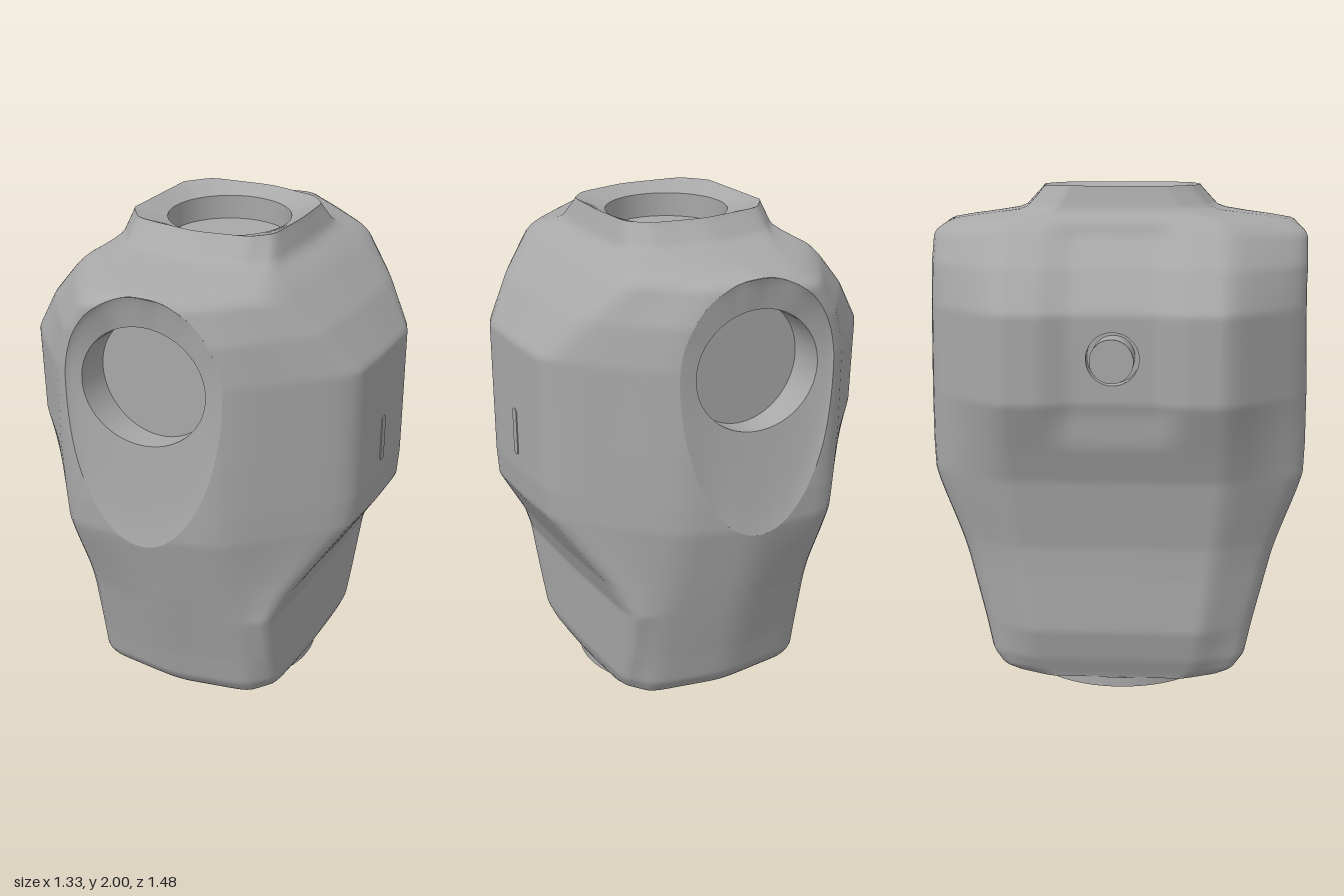
import * as THREE from 'three';

const grey = new THREE.MeshStandardMaterial({ color: 0xa8a8a8, side: THREE.DoubleSide });
grey.name = 'plain grey';

// Body profile: y, chest x, chest half width, front corner x, side z, back x
const PROFILE = [
  [0.035, 0.37, 0.26, 0.27, 0.44, -0.39],
  [0.06, 0.385, 0.32, 0.3, 0.495, -0.4],
  [0.12, 0.408, 0.36, 0.3, 0.54, -0.425],
  [0.25, 0.415, 0.41, 0.29, 0.57, -0.46],
  [0.48, 0.43, 0.475, 0.28, 0.63, -0.46],
  [0.6, 0.48, 0.43, 0.28, 0.66, -0.465],
  [0.88, 0.655, 0.265, 0.29, 0.725, -0.515],
  [1.0, 0.665, 0.26, 0.29, 0.73, -0.56],
  [1.2, 0.665, 0.26, 0.29, 0.73, -0.64],
  [1.54, 0.665, 0.26, 0.29, 0.725, -0.65],
  [1.7, 0.55, 0.34, 0.26, 0.725, -0.56],
  [1.83, 0.42, 0.42, 0.18, 0.725, -0.45],
  [1.87, 0.37, 0.42, 0.12, 0.7, -0.41],
  [1.887, 0.34, 0.36, 0.13, 0.57, -0.38],
  [1.91, 0.32, 0.27, 0.22, 0.4, -0.36],
  [2.0, 0.288, 0.2, 0.21, 0.315, -0.335],
];

function profileAt(y) {
  const last = PROFILE.length - 1;
  if (y <= PROFILE[0][0]) return PROFILE[0];
  if (y >= PROFILE[last][0]) return PROFILE[last];
  const k = PROFILE.findIndex((s) => s[0] > y);
  const a = PROFILE[k - 1], b = PROFILE[k], t = (y - a[0]) / (b[0] - a[0]);
  return a.map((v, i) => v + (b[i] - v) * t);
}

// Closed control polygon of the section, from chest centre round the +z side
function controls(y) {
  const step = THREE.MathUtils.smoothstep;
  const lo = profileAt(y - 0.01), mid = profileAt(y), hi = profileAt(y + 0.01);
  const [, chest, width, corner, side, back] = mid.map((v, i) => (lo[i] + 2 * v + hi[i]) / 4);
  const rear = side * (0.95 + 0.07 * step(y, 0.5, 0.9) - 0.12 * step(y, 1.8, 1.92));
  const groove = 0.04 * step(y, 1, 1.2) * (1 - step(y, 1.8, 1.9));
  const half = [[chest, 0], [chest - 0.01, width], [corner, side * 0.86], [0, side],
    [-corner - 0.045, rear], [back, side * 0.6], [back, side * 0.375],
    [back + groove, side * 0.22], [back + groove, 0]];
  return [...half, ...half.slice(1, 8).reverse().map(([x, z]) => [x, -z])];
}

// Point on the section; averaging nearby samples rounds the corners
function sectionPoint(ctrl, u) {
  let x = 0, z = 0;
  for (let k = -3; k <= 3; k++) {
    const v = (u + k * 0.06 + 16) % 16, i = Math.floor(v), t = v - i;
    const a = ctrl[i], b = ctrl[(i + 1) % 16];
    x += (a[0] + (b[0] - a[0]) * t) / 7;
    z += (a[1] + (b[1] - a[1]) * t) / 7;
  }
  return [x, z];
}

function sectionRing(y) {
  const ctrl = controls(y);
  return Array.from({ length: 128 }, (_, i) => {
    const [x, z] = sectionPoint(ctrl, i / 8);
    return [x, y, z];
  });
}

// Depth of the body's side at a given x and y
function sideZ(x, y) {
  const ctrl = controls(y);
  let a = 1, b = 5;
  for (let i = 0; i < 24; i++) {
    const m = (a + b) / 2;
    if (sectionPoint(ctrl, m)[0] > x) a = m; else b = m;
  }
  return sectionPoint(ctrl, a)[1];
}

// Smooth skin over a list of closed rings
function loft(rings) {
  const n = rings[0].length, index = [];
  for (let j = 0; j < rings.length - 1; j++) {
    for (let i = 0; i < n; i++) {
      const a = j * n + i, c = j * n + ((i + 1) % n);
      index.push(a, a + n, c, c, a + n, c + n);
    }
  }
  const geo = new THREE.BufferGeometry();
  geo.setAttribute('position', new THREE.Float32BufferAttribute(rings.flat(2), 3));
  geo.setIndex(index);
  geo.computeVertexNormals();
  return geo;
}

// Cuts away the part of a surface where keep(x, y, z) is negative
function cut(geo, keep) {
  const g = geo.index ? geo.toNonIndexed() : geo;
  const p = g.attributes.position, q = g.attributes.normal, pos = [], nor = [];
  for (let t = 0; t < p.count; t += 3) {
    const tri = [t, t + 1, t + 2].map((i) => {
      const v = [p.getX(i), p.getY(i), p.getZ(i), q.getX(i), q.getY(i), q.getZ(i)];
      return { v, f: keep(v[0], v[1], v[2]) };
    });
    const poly = [];
    tri.forEach((a, k) => {
      const b = tri[(k + 1) % 3];
      if (a.f >= 0) poly.push(a.v);
      if (a.f >= 0 !== b.f >= 0) poly.push(a.v.map((c, i) => c + ((b.v[i] - c) * a.f) / (a.f - b.f)));
    });
    for (let k = 1; k < poly.length - 1; k++) {
      for (const v of [poly[0], poly[k], poly[k + 1]]) {
        pos.push(...v.slice(0, 3));
        nor.push(...v.slice(3));
      }
    }
  }
  const out = new THREE.BufferGeometry();
  out.setAttribute('position', new THREE.Float32BufferAttribute(pos, 3));
  out.setAttribute('normal', new THREE.Float32BufferAttribute(nor, 3));
  return out;
}

export function createModel() {
  const model = new THREE.Group();
  model.name = 'torso';
  const add = (name, geo) => {
    const mesh = new THREE.Mesh(geo, grey);
    mesh.name = name;
    model.add(mesh);
    return mesh;
  };
  // Sharp-edged shell: each band between rings is its own skin
  const shell = (name, rings) => rings.slice(1).forEach((r, i) => add(name, loft([rings[i], r])));

  // Body with openings for the shoulders and the back button
  const CX = -0.013, CY = 1.5, RX = 0.3, UP = 0.365, DOWN = 0.655;
  const rows = 150, rings = [];
  for (let j = 0; j <= rows; j++) rings.push(sectionRing(0.035 + (1.965 * j) / rows));
  let body = loft(rings);
  body = cut(body, (x, y, z) => (Math.abs(z) < 0.4 ? 1
    : ((x - CX) / RX) ** 2 + ((y - CY) / (y > CY ? UP : DOWN)) ** 2 - 1));
  body = cut(body, (x, y, z) => (x > -0.4 ? 1 : Math.hypot(y - 1.375, z) - 0.1));
  add('body', body);

  // Circles with points lined up with those of a section ring
  const circle = (ring, r, y) => ring.map(([x, , z]) => {
    const a = Math.atan2(z, x + 0.02);
    return [-0.02 + r * Math.cos(a), y, r * Math.sin(a)];
  });

  // Neck rim and socket
  const top = rings[rows];
  shell('neckSocket', [top, circle(top, 0.24, 1.965), circle(top, 0.24, 1.87), circle(top, 0, 1.87)]);

  // Hollow waist ring and underside
  const low = rings[0];
  shell('waistRing', [circle(low, 0, 0.25), circle(low, 0.362, 0.25), circle(low, 0.362, 0),
    circle(low, 0.385, 0), circle(low, 0.385, 0.04), low]);

  // Shoulder recesses, each running into a round socket
  for (const s of [1, -1]) {
    const spokes = Array.from({ length: 96 }, (_, i) => {
      const a = (-s * i * Math.PI * 2) / 96, c = Math.cos(a), d = Math.sin(a);
      const rim = [CX + RX * c, CY + (d > 0 ? UP : DOWN) * d];
      const hole = [-0.02 + 0.24 * c, CY + 0.24 * d];
      return { rim: [...rim, sideZ(...rim)], hole: [...hole, 0.66 - 0.17 * (hole[0] + 0.02)] };
    });
    const recess = [0, 0.1, 0.25, 0.4, 0.6, 0.8, 1].map((t) => spokes.map(({ rim, hole }) => [
      rim[0] + (hole[0] - rim[0]) * t,
      rim[1] + (hole[1] - rim[1]) * t,
      s * (rim[2] + (hole[2] - rim[2]) * t ** 0.75),
    ]));
    const side = s > 0 ? 'left' : 'right';
    add(side + 'ShoulderRecess', loft(recess));
    const edge = recess[recess.length - 1];
    shell(side + 'ShoulderSocket', [edge, edge.map(([x, y]) => [x, y, s * 0.56]),
      edge.map(() => [-0.02, CY, s * 0.56])]);
  }

  // Back button in its round well
  const disc = (name, r, x0, x1, open) => {
    const mesh = add(name, new THREE.CylinderGeometry(r, r, x1 - x0, 40, 1, open));
    mesh.rotation.z = Math.PI / 2;
    mesh.position.set((x0 + x1) / 2, 1.375, 0);
  };
  disc('buttonWell', 0.1, -0.606, -0.54, true);
  disc('buttonWellFloor', 0.1, -0.545, -0.54, false);
  disc('backButton', 0.082, -0.665, -0.54, false);

  // Narrow chest slot plate
  const slot = new THREE.Shape();
  slot.absarc(0, 0.082, 0.016, 0, Math.PI);
  slot.absarc(0, -0.082, 0.016, Math.PI, Math.PI * 2);
  const plate = add('chestSlot', new THREE.ExtrudeGeometry(slot, { depth: 0.008, bevelEnabled: false, curveSegments: 8 }));
  plate.rotation.y = Math.PI / 2;
  plate.position.set(0.66, 1.162, 0);

  return model;
}
